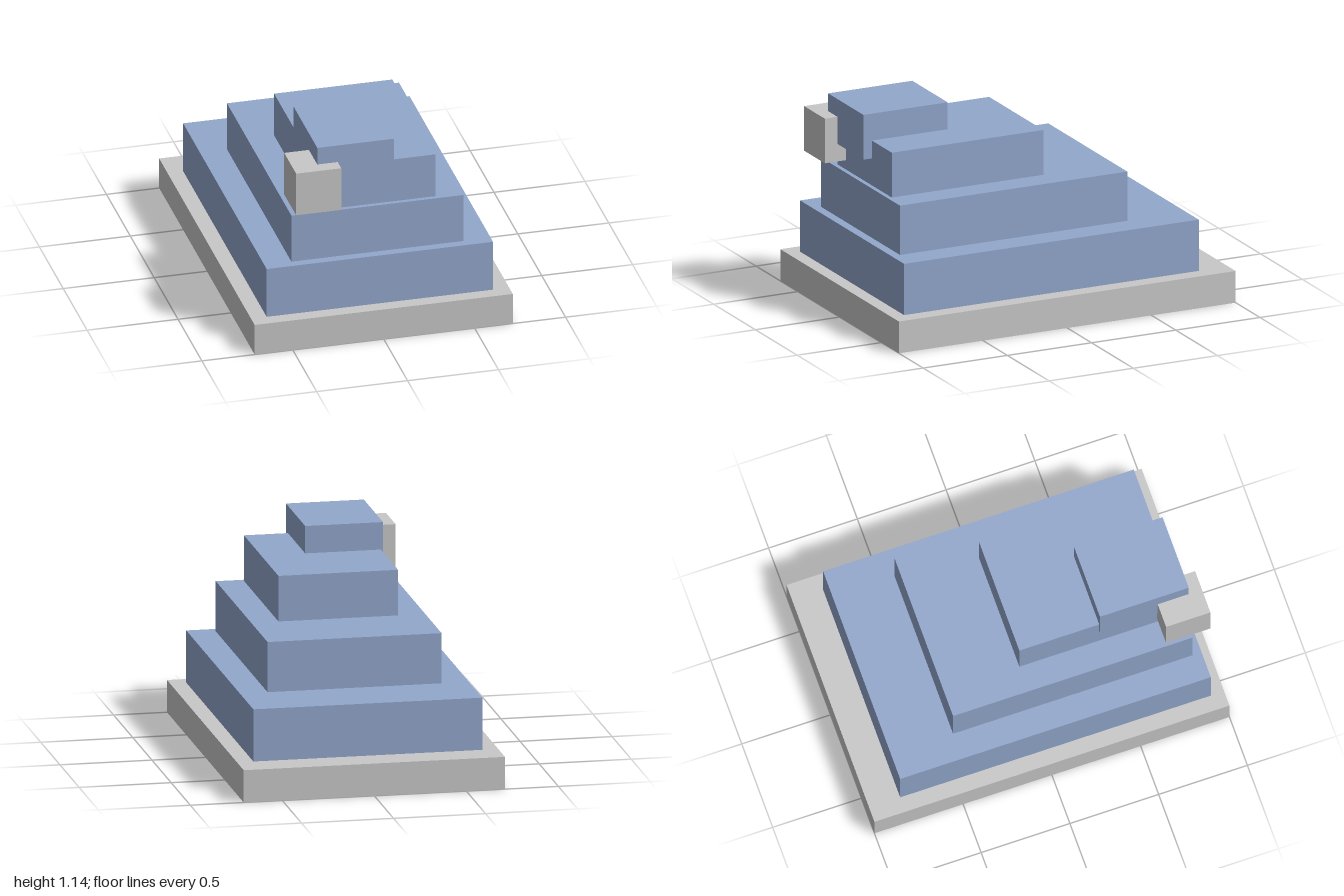
import * as THREE from 'three';

const grey = new THREE.MeshStandardMaterial({ name: 'light grey', color: 0xc8c8c8 });
const blue = new THREE.MeshStandardMaterial({ name: 'soft blue', color: 0x92a7cc });

// Each block: name, material, then min and max along x, y and z
const blocks = [
  ['basePlate', grey, [-0.71, 0.71], [0, 0.177], [-1, 1]],
  ['lowerTier', blue, [-0.624, 0.621], [0.177, 0.463], [-0.825, 0.925]],
  ['middleTier', blue, [-0.475, 0.471], [0.463, 0.738], [-0.475, 0.875]],
  ['upperTier', blue, [-0.327, 0.323], [0.738, 0.988], [-0.05, 0.85]],
  ['topBlock', blue, [-0.339, 0.084], [0.888, 1.138], [0.4, 0.9]],
  ['cornerBlock', grey, [-0.475, -0.227], [0.79, 1.039], [0.725, 0.975]],
];

export function createModel() {
  const model = new THREE.Group();
  model.name = 'steppedBlocks';
  for (const [name, material, ...ranges] of blocks) {
    const size = ranges.map(([min, max]) => max - min);
    const centre = ranges.map(([min, max]) => (min + max) / 2);
    const mesh = new THREE.Mesh(new THREE.BoxGeometry(...size), material);
    mesh.name = name;
    mesh.position.set(...centre);
    model.add(mesh);
  }
  return model;
}
